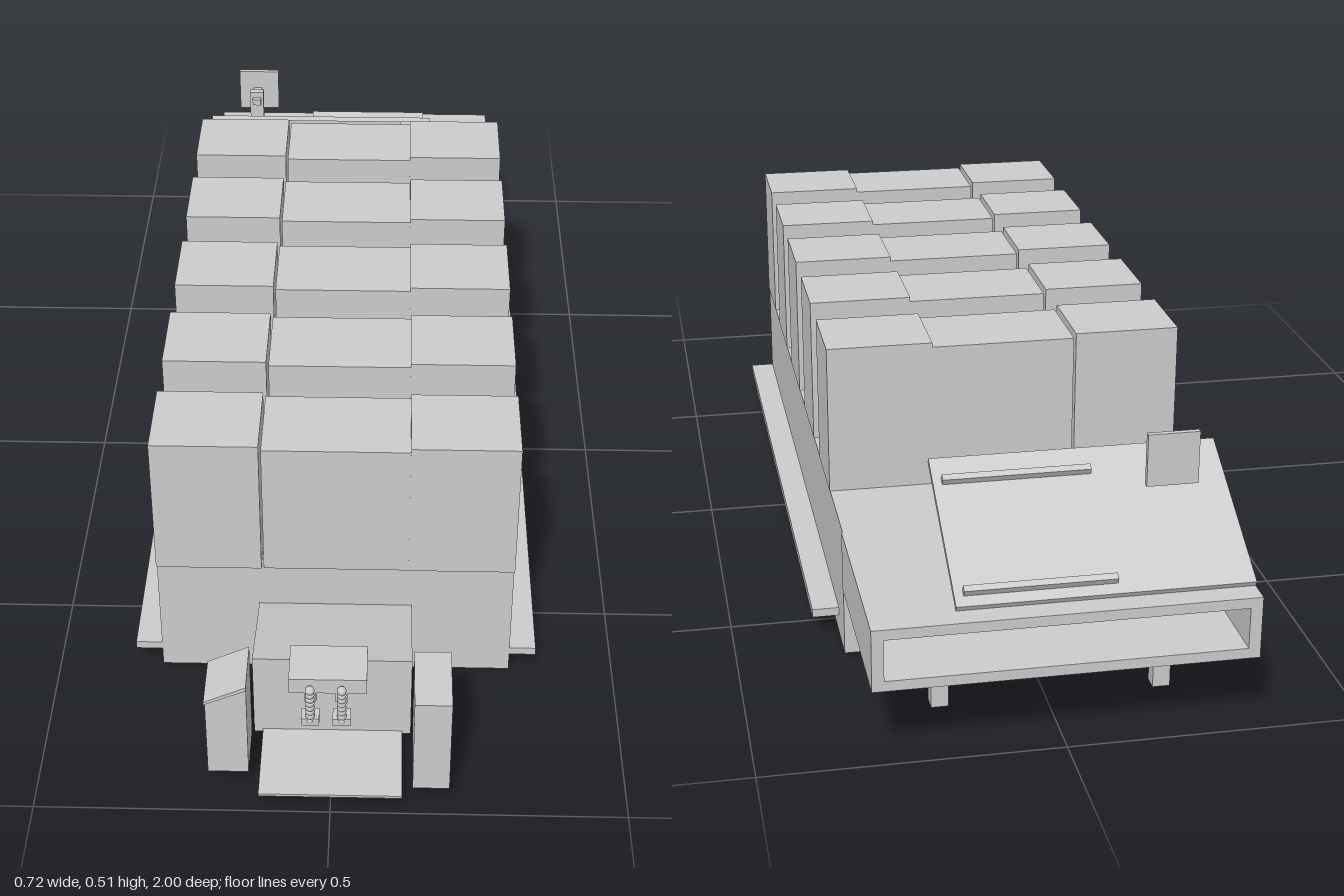
import * as THREE from 'three';

const mat = new THREE.MeshStandardMaterial({ color: 0xcccccc, flatShading: true, side: THREE.DoubleSide });
const smooth = new THREE.MeshStandardMaterial({ color: 0xcccccc });

function add(parent, name, geo, material = mat) {
  const m = new THREE.Mesh(geo, material);
  m.name = name;
  parent.add(m);
  return m;
}

// Box given by its extents on each axis
function box(parent, name, x0, x1, y0, y1, z0, z1) {
  const m = add(parent, name, new THREE.BoxGeometry(x1 - x0, y1 - y0, z1 - z0));
  m.position.set((x0 + x1) / 2, (y0 + y1) / 2, (z0 + z1) / 2);
  return m;
}

// Prism along x from a side profile of [z, y] points
function sidePrism(parent, name, pts, x0, x1) {
  const shape = new THREE.Shape(pts.map(([z, y]) => new THREE.Vector2(-z, y)));
  const geo = new THREE.ExtrudeGeometry(shape, { depth: x1 - x0, bevelEnabled: false });
  geo.rotateY(Math.PI / 2);
  geo.translate(x0, 0, 0);
  return add(parent, name, geo);
}

// Prism along z from a front profile of [x, y] points
function frontPrism(parent, name, pts, z0, z1) {
  const shape = new THREE.Shape(pts.map(([x, y]) => new THREE.Vector2(x, y)));
  const geo = new THREE.ExtrudeGeometry(shape, { depth: z1 - z0, bevelEnabled: false });
  geo.translate(0, 0, z0);
  return add(parent, name, geo);
}

function group(parent, name) {
  const g = new THREE.Group();
  g.name = name;
  parent.add(g);
  return g;
}

export function createModel() {
  const model = new THREE.Group();
  model.name = 'machine';

  // Main housing, with a recess at the back that holds a roller
  const body = group(model, 'housing');
  box(body, 'mainBody', -0.313, 0.313, 0.005, 0.24, -0.5, 0.655);
  box(body, 'rearFloor', -0.313, 0.313, 0.005, 0.04, -0.64, -0.5);
  box(body, 'rearTop', -0.313, 0.313, 0.2, 0.24, -0.645, -0.5);
  for (const s of [-1, 1]) {
    const a = s * 0.313, b = s * 0.25;
    box(body, 'rearSideWall', Math.min(a, b), Math.max(a, b), 0.04, 0.2, -0.64, -0.5);
  }
  const roller = add(body, 'roller', new THREE.CylinderGeometry(0.055, 0.055, 0.5, 32), smooth);
  roller.rotation.z = Math.PI / 2;
  roller.position.set(0, 0.12, -0.56);

  // Side ledge
  box(model, 'ledge', -0.36, 0.36, 0.04, 0.055, -0.565, 0.654);

  // Five tower modules, each with raised side caps
  for (let i = 0; i < 5; i++) {
    const z1 = 0.66 - i * 0.245, z0 = z1 - 0.155;
    const tower = group(model, 'tower');
    box(tower, 'towerLeft', 0.128, 0.314, 0.24, 0.508, z0, z1);
    box(tower, 'towerMiddle', -0.125, 0.128, 0.24, 0.5, z0, z1 - 0.001);
    box(tower, 'towerRight', -0.314, -0.129, 0.24, 0.508, z0, z1);
  }

  // Front chute, foot plate and side cabinets
  sidePrism(model, 'chute', [[0.85, 0.035], [0.655, 0.04], [0.655, 0.155], [0.85, 0.205]], -0.135, 0.135);
  box(model, 'footPlate', -0.12, 0.12, 0.036, 0.041, 0.85, 1);
  box(model, 'leftCabinet', 0.138, 0.2, 0.035, 0.228, 0.85, 0.975);
  frontPrism(model, 'rightCabinet',
    [[-0.208, 0.035], [-0.139, 0.035], [-0.139, 0.225], [-0.208, 0.192]], 0.85, 0.945);
  frontPrism(model, 'rightCabinetLid',
    [[-0.21, 0.192], [-0.139, 0.225], [-0.139, 0.233], [-0.21, 0.198]], 0.85, 0.947);

  // Control console with two hanging beaded levers
  const console_ = group(model, 'console');
  box(console_, 'consoleHead', -0.068, 0.06, 0.232, 0.262, 0.875, 0.955);
  for (const x of [-0.033, 0.019]) {
    const lever = group(console_, 'lever');
    box(lever, 'leverMount', x - 0.01, x + 0.01, 0.213, 0.232, 0.93, 0.955);
    box(lever, 'leverFoot', x - 0.015, x + 0.015, 0.173, 0.188, 0.945, 0.97);
    for (let i = 0; i < 8; i++) {
      const bead = add(lever, 'leverBead', new THREE.SphereGeometry(0.008, 12, 8), smooth);
      bead.position.set(x, 0.182 + i * 0.0092, 0.964);
    }
  }

  // Hollow rear tray, open at the back, on two legs
  const tray = group(model, 'rearTray');
  box(tray, 'trayTop', -0.315, 0.315, 0.222, 0.24, -1, -0.645);
  box(tray, 'trayBottom', -0.315, 0.315, 0.132, 0.15, -1, -0.645);
  box(tray, 'trayLeftWall', 0.295, 0.315, 0.15, 0.222, -1, -0.645);
  box(tray, 'trayRightWall', -0.315, -0.295, 0.15, 0.222, -1, -0.645);
  box(tray, 'trayFrontWall', -0.295, 0.295, 0.15, 0.222, -0.665, -0.645);
  for (const x of [-0.2, 0.18]) box(tray, 'trayLeg', x - 0.015, x + 0.015, 0, 0.135, -0.84, -0.812);

  // Sloping board on a wedge support, with two strips
  const board = group(model, 'slopingBoard');
  sidePrism(board, 'boardSupport', [[-0.8, 0.24], [-0.8, 0.328], [-0.95, 0.247], [-0.95, 0.24]], -0.25, 0.11);
  const panel = group(board, 'panel');
  panel.position.set(-0.07, 0.316, -0.832);
  panel.rotation.x = -Math.atan2(0.143, 0.262);
  box(panel, 'boardPanel', -0.245, 0.245, -0.005, 0.005, -0.148, 0.148);
  for (const z of [-0.122, 0.098]) box(panel, 'boardStrip', -0.02, 0.23, 0.005, 0.017, z - 0.006, z + 0.006);

  // Small sign plate on its bracket
  const sign = group(model, 'signPlate');
  box(sign, 'plate', -0.258, -0.17, 0.36, 0.452, -0.812, -0.802);
  box(sign, 'arm', -0.226, -0.208, 0.398, 0.412, -0.805, -0.742);
  box(sign, 'armBlock', -0.232, -0.202, 0.358, 0.425, -0.768, -0.752);

  return model;
}
